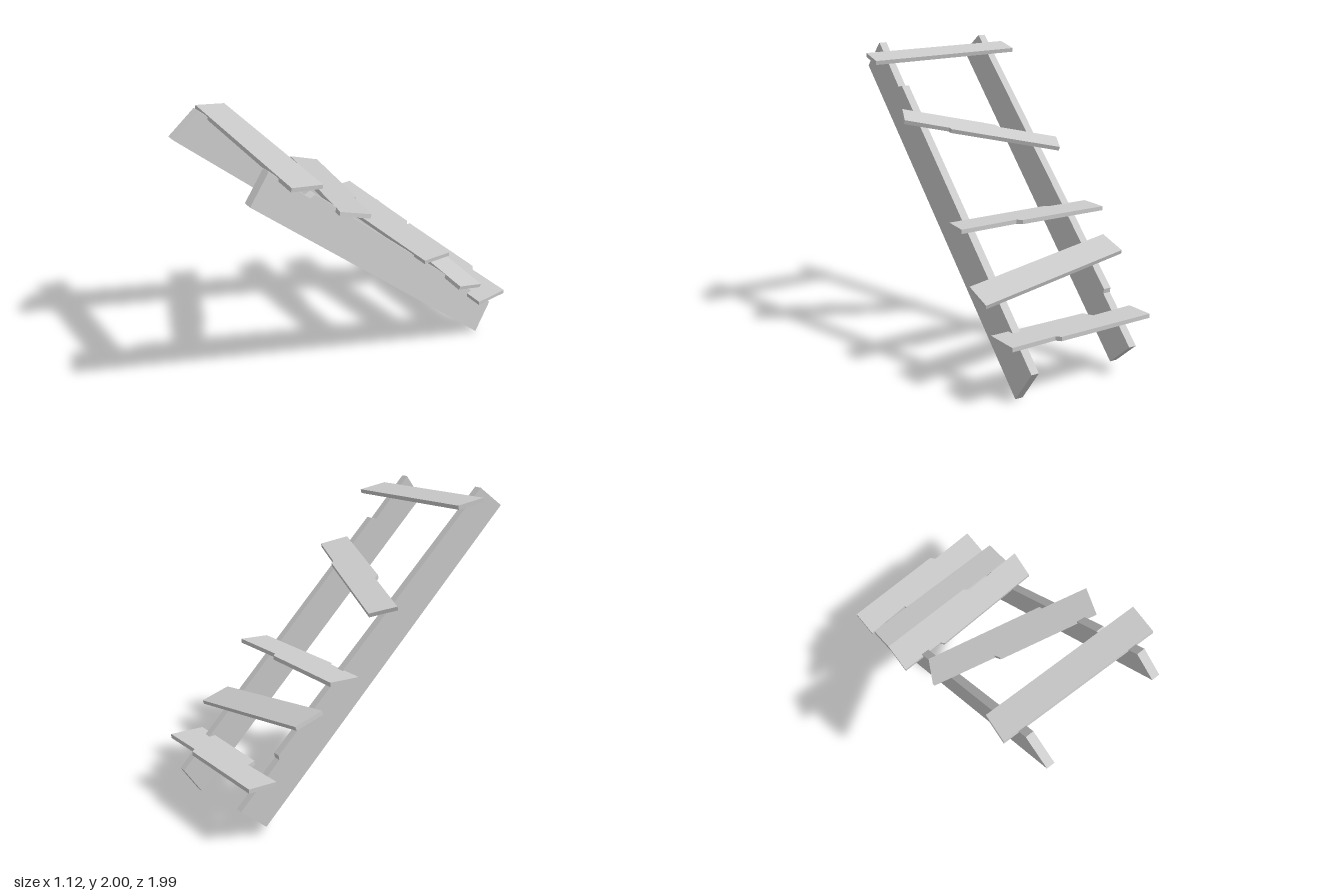
import * as THREE from 'three';

const wood = new THREE.MeshStandardMaterial({ color: 0xcccccc });
wood.name = 'plain grey wood';

const THICK = 0.027;

function outline(points) {
  return new THREE.Shape(points.map(([u, v]) => new THREE.Vector2(u, v)));
}

// Move every vertex by a rule, then restore flat normals
function warp(geometry, rule) {
  const pos = geometry.attributes.position;
  const v = new THREE.Vector3();
  for (let i = 0; i < pos.count; i++) {
    rule(v.fromBufferAttribute(pos, i));
    pos.setXYZ(i, v.x, v.y, v.z);
  }
  geometry.computeVertexNormals();
  return geometry;
}

function addMesh(group, name, geometry) {
  const mesh = new THREE.Mesh(geometry, wood);
  mesh.name = name;
  group.add(mesh);
}

// Sloping side beam: profile as [z, y], centreX gives its lean
function stringer(profile, width, centreX) {
  const geo = new THREE.ExtrudeGeometry(outline(profile.map(([z, y]) => [-z, y])),
    { depth: width, bevelEnabled: false });
  geo.rotateY(Math.PI / 2);
  return warp(geo, (v) => { v.x += centreX(v.y, v.z) - width / 2; });
}

// Plank: top outline as [x, z], tilted about its first corner at height y
function tread(points, y, slopeX = 0, slopeZ = 0) {
  const geo = new THREE.ExtrudeGeometry(outline(points.map(([x, z]) => [x, -z])),
    { depth: THICK, bevelEnabled: false });
  geo.rotateX(-Math.PI / 2);
  const normal = new THREE.Vector3(-slopeX, 1, -slopeZ).normalize();
  const [x0, z0] = points[0];
  return warp(geo, (v) => {
    const drop = v.y - THICK;
    v.y = y + slopeX * (v.x - x0) + slopeZ * (v.z - z0);
    v.addScaledVector(normal, drop);
  });
}

export function createModel() {
  const group = new THREE.Group();
  group.name = 'brokenStaircase';

  // Side beams with chipped upper edges
  addMesh(group, 'rightStringer', stringer(
    [[0.995, 1.87], [0.81, 2.0], [-0.71, 0.505], [-0.705, 0.475], [-0.975, 0.2], [-0.8, 0.05]],
    0.053, (y) => -0.37 - 0.0215 * y));
  addMesh(group, 'leftStringer', stringer(
    [[0.97, 1.815], [0.83, 1.98], [0.565, 1.705], [0.525, 1.715], [-0.985, 0.195], [-0.85, 0]],
    0.053, (y, z) => 0.392 - 0.06 * (y - z - 0.85)));

  // Crooked treads, from lowest to highest
  const treads = [
    tread([[-0.505, -0.785], [-0.505, -0.975], [0.19, -0.995], [0.215, -0.965],
      [0.53, -0.98], [0.525, -0.75], [-0.165, -0.74], [-0.195, -0.805]], 0.39),
    tread([[-0.53, -0.475], [-0.53, -0.665], [0.545, -0.73], [0.54, -0.54]], 0.785, -0.12, 0.33),
    tread([[-0.565, -0.23], [-0.555, -0.43], [0.085, -0.44], [0.115, -0.41],
      [0.525, -0.43], [0.5, -0.245], [-0.25, -0.215], [-0.27, -0.235]], 0.96),
    tread([[-0.545, 0.072], [-0.46, -0.085], [0.255, 0.125], [0.26, 0.145],
      [0.54, 0.23], [0.465, 0.4], [-0.14, 0.222], [-0.155, 0.188]], 1.35, 0.125, 0.32),
    tread([[-0.54, 0.745], [-0.515, 0.56], [0.555, 0.58], [0.53, 0.77]], 1.955, -0.037, 0.19),
  ];
  treads.forEach((geo, i) => addMesh(group, `tread${i + 1}`, geo));

  return group;
}
